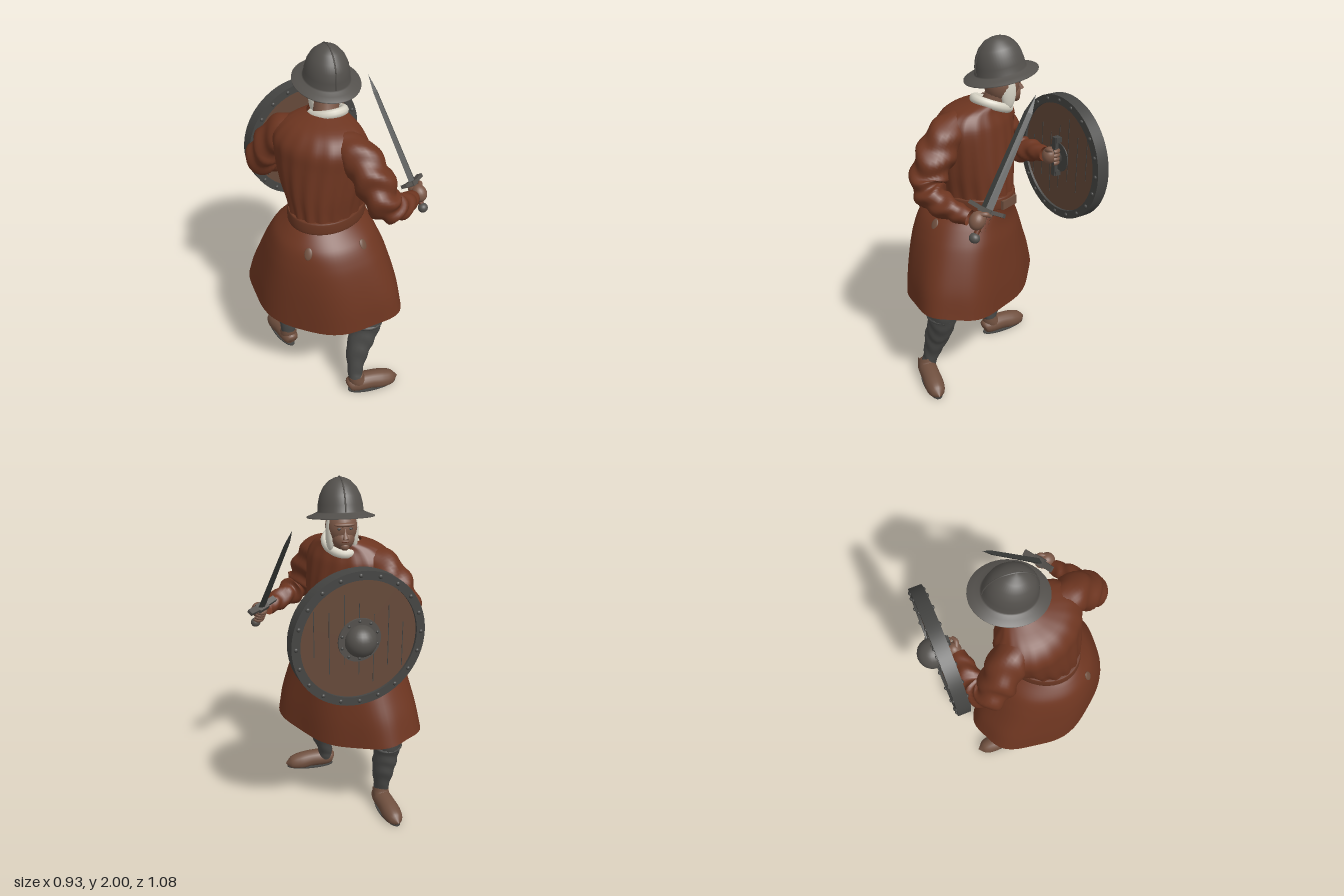
import * as THREE from 'three';
import { toCreasedNormals } from 'three/addons/utils/BufferGeometryUtils.js';

const mat = (name, color, side = THREE.FrontSide) => {
  const m = new THREE.MeshStandardMaterial({ color, side });
  m.name = name;
  return m;
};
const V = (x, y, z) => new THREE.Vector3(x, y, z);

// Closed tube-like surface: fn(angle, t) gives a point, t runs along the part
function skin(fn, n, m) {
  const pos = [], idx = [];
  for (let j = 0; j <= m; j++)
    for (let i = 0; i < n; i++) pos.push(...fn(i / n * Math.PI * 2, j / m).toArray());
  for (let j = 0; j < m; j++)
    for (let i = 0; i < n; i++) {
      const a = j * n + i, b = j * n + (i + 1) % n;
      idx.push(a, b, a + n, b, b + n, a + n);
    }
  const g = new THREE.BufferGeometry();
  g.setAttribute('position', new THREE.Float32BufferAttribute(pos, 3));
  g.setIndex(idx);
  g.computeVertexNormals();
  return g;
}

// Tapered limb through [x, y, z, radius] points, with optional wrinkles
function limb(pts, wrinkle = 0, n = 18, m = 36) {
  const path = new THREE.CatmullRomCurve3(pts.map(p => V(p[0], p[1], p[2])));
  const rad = new THREE.CatmullRomCurve3(pts.map((p, i) => V(p[3], i, 0)));
  const N = V(0.31, 0.2, 0.93), frames = [];
  for (let j = 0; j <= m; j++) {
    const T = path.getTangent(j / m);
    N.addScaledVector(T, -N.dot(T)).normalize();
    frames.push([path.getPoint(j / m), N.clone(), T.clone().cross(N), rad.getPoint(j / m).x]);
  }
  return skin((a, t) => {
    const [c, n1, b1, r] = frames[Math.round(t * m)];
    const q = r + wrinkle * Math.sin(t * 42 + 2 * Math.sin(a * 2)) * Math.sin(t * Math.PI);
    const p = c.clone().addScaledVector(n1, q * Math.cos(a)).addScaledVector(b1, q * Math.sin(a));
    p.y = Math.max(p.y, 0.006);
    return p;
  }, n, m);
}

// Body axes: U runs along the shoulders, F is where the chest faces
const U = V(0.5, 0, 0.866), F = V(0.866, 0, -0.5);
// Elliptical cross-sections [y, centre x, centre z, half width, half depth], bottom to top
function sections(rows) {
  const c = new THREE.CatmullRomCurve3(rows.map(r => V(r[1], r[0], r[2])));
  const s = new THREE.CatmullRomCurve3(rows.map((r, i) => V(r[3], i, r[4])));
  return (a, t, k = 1) => {
    const q = s.getPoint(t);
    return c.getPoint(t).addScaledVector(U, q.x * k * Math.cos(a)).addScaledVector(F, q.z * k * Math.sin(a));
  };
}

export function createModel() {
  const root = new THREE.Group();
  root.name = 'shieldBearer';
  const M = {
    cloth: mat('russet cloth', 0x6d3520, THREE.DoubleSide),
    belt: mat('belt leather', 0x693622),
    skin: mat('skin', 0x7a5746),
    shoe: mat('shoe leather', 0x70503f),
    hose: mat('grey hose', 0x4a4a48),
    linen: mat('linen', 0xd8d4c6),
    helmet: mat('helmet steel', 0x53504c, THREE.DoubleSide),
    wood: mat('shield wood', 0x654939),
    iron: mat('dark iron', 0x454543),
    blade: mat('blade steel', 0x3b3d3b),
  };
  const add = (name, geo, m, parent = root, p = [0, 0, 0], s = [1, 1, 1], r = [0, 0, 0]) => {
    const o = new THREE.Mesh(geo, m);
    o.name = name;
    o.position.set(...p); o.scale.set(...s); o.rotation.set(...r);
    parent.add(o);
    return o;
  };
  const group = (name, p) => {
    const g = new THREE.Group();
    g.name = name; g.position.set(...p);
    root.add(g);
    return g;
  };
  const ball = new THREE.SphereGeometry(1, 24, 16);

  // Tunic: wide skirt with soft folds, swept back, gathered torso, belt
  const skirtBase = sections([[0.535, -0.072, 0.085, 0.475, 0.32], [0.67, -0.075, 0.095, 0.44, 0.315],
    [0.8, -0.08, 0.105, 0.39, 0.305], [0.92, -0.085, 0.11, 0.338, 0.29],
    [1.02, -0.088, 0.11, 0.28, 0.265], [1.1, -0.07, 0.1, 0.2, 0.235]]);
  const skirt = (a, t, k = 1) => skirtBase(a, t, k).addScaledVector(F, -0.055 * (1 - t) ** 0.6 * Math.sin(a) ** 2);
  add('skirt', skin((a, t) => {
    const p = skirt(a, t, 1 + 0.022 * (1 - t) * Math.cos(a * 7 + 0.6));
    p.y += (1 - t) * (0.025 * Math.cos(2 * a) - 0.01 * Math.sin(a));
    return p;
  }, 72, 30), M.cloth);
  const torso = sections([[1.09, -0.07, 0.1, 0.19, 0.232], [1.18, -0.072, 0.1, 0.195, 0.228],
    [1.3, -0.082, 0.09, 0.228, 0.222], [1.45, -0.09, 0.078, 0.258, 0.205], [1.55, -0.092, 0.075, 0.262, 0.188],
    [1.62, -0.075, 0.068, 0.205, 0.145], [1.665, -0.03, 0.02, 0.1, 0.09]]);
  add('torso', skin((a, t) => torso(a, t, 1 + 0.032 * (1 - t) * Math.cos(a * 18 + Math.sin(t * 7))), 90, 30), M.cloth);
  const band = sections([[1.098, -0.07, 0.1, 0.18, 0.22], [1.1, -0.07, 0.1, 0.2, 0.244],
    [1.165, -0.07, 0.1, 0.199, 0.24], [1.167, -0.07, 0.1, 0.18, 0.22]]);
  add('belt', skin((a, t) => band(a, t), 48, 18), M.belt);
  add('buckle', new THREE.BoxGeometry(0.115, 0.05, 0.02), M.shoe, root, [0.152, 1.125, 0.008], [1, 1, 1], [0, 1.89, 0]);
  for (const a of [-0.25, -1.35]) {
    const p = skirt(a, 0.8, 1.005);
    const o = add('hipPatch', ball, M.shoe, root, p.toArray(), [0.022, 0.034, 0.008]);
    o.lookAt(p.x + (p.x + 0.09) * 2, p.y + 0.3, p.z + (p.z - 0.1) * 2);
  }

  // Sleeves: puffed above the elbow, tight at the wrist
  add('rightSleeve', limb([[-0.06, 1.54, 0.17, 0.09], [-0.005, 1.525, 0.29, 0.098], [0.03, 1.42, 0.39, 0.102],
    [0.065, 1.3, 0.45, 0.088], [0.13, 1.25, 0.448, 0.074], [0.24, 1.215, 0.4, 0.056], [0.315, 1.195, 0.355, 0.042]], 0.011, 28, 70), M.cloth);
  add('leftSleeve', limb([[-0.15, 1.54, -0.02, 0.09], [-0.2, 1.52, -0.12, 0.098], [-0.25, 1.41, -0.2, 0.098],
    [-0.265, 1.3, -0.265, 0.086], [-0.19, 1.25, -0.31, 0.072], [-0.09, 1.27, -0.325, 0.06], [0.01, 1.28, -0.335, 0.042]], 0.011, 28, 70), M.cloth);

  // Legs, garters and shoes
  const leg = (side, pts, garter, foot, yaw) => {
    add(side + 'Leg', limb(pts, 0.003), M.hose);
    add(side + 'Garter', new THREE.TorusGeometry(0.076, 0.014, 8, 28), M.hose, root, garter, [1, 1, 1], [Math.PI / 2 - 0.15, 0, 0]);
    const g = group(side + 'Shoe', foot);
    g.rotation.y = yaw;
    add('upper', limb([[0, 0.045, -0.07, 0.001], [0, 0.05, -0.06, 0.038], [0, 0.054, -0.01, 0.053], [0, 0.05, 0.08, 0.054],
      [0, 0.035, 0.15, 0.056], [0, 0.027, 0.21, 0.042], [0, 0.025, 0.25, 0.001]]), M.shoe, g);
    add('ankle', limb([[0, 0.05, 0.01, 0.052], [0, 0.09, -0.012, 0.05], [0, 0.125, -0.018, 0.046]]), M.shoe, g);
    add('sole', new THREE.CylinderGeometry(1, 1, 0.008, 28), M.iron, g, [0, 0.004, 0.088], [0.05, 1, 0.152]);
  };
  leg('right', [[0.04, 0.75, 0.3, 0.1], [0.05, 0.52, 0.372, 0.092], [0.025, 0.4, 0.38, 0.078], [-0.025, 0.28, 0.388, 0.07],
    [-0.06, 0.13, 0.415, 0.045], [-0.065, 0.06, 0.435, 0.044]], [0.035, 0.45, 0.38], [-0.055, 0, 0.445], 1.36);
  leg('left', [[-0.22, 0.75, -0.08, 0.1], [-0.235, 0.52, -0.17, 0.088], [-0.235, 0.4, -0.155, 0.075], [-0.23, 0.28, -0.135, 0.068],
    [-0.23, 0.13, -0.11, 0.046], [-0.228, 0.06, -0.115, 0.044]], [-0.235, 0.45, -0.16], [-0.226, 0, -0.125], Math.PI);

  // Head, looking towards local -z
  add('neck', limb([[-0.04, 1.55, 0.03, 0.075], [-0.015, 1.63, 0, 0.068], [0.003, 1.72, -0.03, 0.068]]), M.skin);
  add('collar', new THREE.TorusGeometry(0.085, 0.021, 10, 32), M.linen, root, [-0.012, 1.642, 0.012], [1, 1.2, 1.2], [Math.PI / 2 - 0.36, 0, 0]);
  const head = group('head', [0.005, 1.745, -0.04]);
  head.rotation.y = -0.17;
  add('skull', ball, M.skin, head, [0, 0, 0], [0.085, 0.105, 0.095]);
  add('jaw', ball, M.skin, head, [0, -0.055, -0.045], [0.058, 0.055, 0.06]);
  add('chin', ball, M.skin, head, [0, -0.085, -0.085], [0.024, 0.022, 0.02]);
  add('nose', new THREE.ConeGeometry(0.017, 0.055, 8), M.skin, head, [0, -0.015, -0.103], [1, 1, 1], [0.35, 0, 0]);
  add('brow', ball, M.skin, head, [0, 0.028, -0.08], [0.055, 0.012, 0.022]);
  add('mouth', ball, M.belt, head, [0, -0.057, -0.1], [0.022, 0.005, 0.006]);
  for (const s of [-1, 1]) {
    add('eye', ball, M.iron, head, [s * 0.03, 0.008, -0.088], [0.011, 0.006, 0.005]);
    add('coifSide', ball, M.linen, head, [s * 0.063, -0.03, -0.012], [0.024, 0.095, 0.042]);
  }

  // Brimmed helmet with a ridge from front to back
  const helmet = group('helmet', [0.007, 1.82, -0.031]);
  helmet.rotation.set(0.17, -0.17, 0, 'YXZ');
  const crown = [[0.137, 0.004], [0.134, 0.04], [0.122, 0.085], [0.1, 0.125], [0.065, 0.158], [0.03, 0.173], [0.0, 0.178]];
  const prof = [[0.202, -0.026], [0.203, -0.02], [0.17, -0.01], [0.145, 0], ...crown].map(p => new THREE.Vector2(...p));
  add('shell', new THREE.LatheGeometry(prof, 48), M.helmet, helmet, [0, 0, 0], [0.87, 1, 1]);
  const ridge = [...crown.map(([r, y]) => V(0, y, r)), ...crown.slice(0, -1).reverse().map(([r, y]) => V(0, y, -r))];
  add('ridge', new THREE.TubeGeometry(new THREE.CatmullRomCurve3(ridge), 40, 0.004, 6), M.helmet, helmet);

  // Round shield: planks, iron rim, boss, rivets and grip; outer face towards -z
  const shield = group('shield', [0.067, 1.27, -0.415]);
  const disc = (r, h) => new THREE.CylinderGeometry(r, r, h, 56).rotateX(Math.PI / 2);
  add('planks', disc(0.325, 0.044), M.wood, shield);
  const rim = [[0.314, -0.036], [0.36, -0.036], [0.36, 0.036], [0.314, 0.036], [0.314, -0.036]];
  const rimGeo = new THREE.LatheGeometry(rim.map(p => new THREE.Vector2(...p)), 64).rotateX(Math.PI / 2);
  add('rim', toCreasedNormals(rimGeo, 0.6), M.iron, shield);
  for (let i = -3; i <= 3; i++) {
    const h = 2 * Math.sqrt(0.31 ** 2 - (i * 0.08) ** 2) * 0.62;
    add('plankGap', new THREE.BoxGeometry(0.004, h, 0.047), M.iron, shield, [i * 0.08, (i % 2) * 0.06, 0]);
  }
  for (let i = 0; i < 20; i++) {
    const a = i / 20 * Math.PI * 2;
    for (const s of [-1, 1])
      add('rivet', ball, M.iron, shield, [0.337 * Math.cos(a), 0.337 * Math.sin(a), s * 0.037], [0.011, 0.011, 0.008]);
    if (i % 2) add('bossRivet', ball, M.iron, shield, [0.1 * Math.cos(a), 0.1 * Math.sin(a), -0.032], [0.008, 0.008, 0.006]);
  }
  add('bossFlange', disc(0.115, 0.012), M.helmet, shield, [0, 0, -0.026]);
  add('boss', ball, M.helmet, shield, [0, 0, -0.043], [0.083, 0.083, 0.08]);
  add('backPlate', disc(0.085, 0.01), M.iron, shield, [0, 0, 0.024]);
  add('grip', new THREE.BoxGeometry(0.03, 0.23, 0.022), M.iron, shield, [0, 0.01, 0.052]);
  for (const s of [-1, 1]) add('gripMount', new THREE.BoxGeometry(0.04, 0.03, 0.04), M.iron, shield, [0, 0.01 + s * 0.1, 0.036]);

  // Hand closed around an upright grip, palm on the local -x side
  const hand = (name, parent, p, yaw) => {
    const g = new THREE.Group();
    g.name = name; g.position.set(...p); g.rotation.y = yaw;
    parent.add(g);
    add('palm', ball, M.skin, g, [-0.024, 0, 0.01], [0.042, 0.05, 0.042]);
    for (let i = 0; i < 4; i++)
      add('finger', new THREE.TorusGeometry(0.026, 0.013, 8, 16, 4.6), M.skin, g, [0, 0.035 - i * 0.023, 0], [1, 1, 1], [Math.PI / 2, 0, 2.2]);
    add('thumb', limb([[-0.03, 0.03, 0.025, 0.014], [0.0, 0.045, 0.035, 0.013], [0.028, 0.045, 0.022, 0.009]]), M.skin, g);
  };
  hand('leftHand', shield, [-0.005, 0.01, 0.06], 0);

  // Sword, blade along local +y and guard along local x
  const sword = group('sword', [0.363, 1.235, 0.285]);
  const D = V(-0.129, 0.824, -0.553).normalize(), G = V(0.86, -0.1, -0.5);
  G.addScaledVector(D, -G.dot(D)).normalize();
  sword.quaternion.setFromRotationMatrix(new THREE.Matrix4().makeBasis(G, D, G.clone().cross(D)));
  const diamond = (rt, rb, h) => {
    const g = new THREE.CylinderGeometry(rt, rb, h, 4).toNonIndexed();
    g.computeVertexNormals();
    return g;
  };
  add('blade', diamond(0.023, 0.033, 0.53), M.blade, sword, [0, 0.265, 0], [1, 1, 0.5]);
  add('bladeTip', diamond(0, 0.023, 0.1), M.blade, sword, [0, 0.58, 0], [1, 1, 0.5]);
  add('guardCentre', new THREE.BoxGeometry(0.07, 0.026, 0.05), M.helmet, sword);
  for (const s of [-1, 1])
    add('guardArm', new THREE.BoxGeometry(0.08, 0.02, 0.034), M.helmet, sword, [s * 0.06, 0.006, 0], [1, 1, 1], [0, 0, s * 0.12]);
  add('swordGrip', new THREE.CylinderGeometry(0.014, 0.014, 0.13, 12), M.belt, sword, [0, -0.07, 0]);
  add('pommel', ball, M.helmet, sword, [0, -0.148, 0], [0.029, 0.027, 0.027]);
  hand('rightHand', sword, [0, -0.062, 0], 0.6);

  return root;
}
